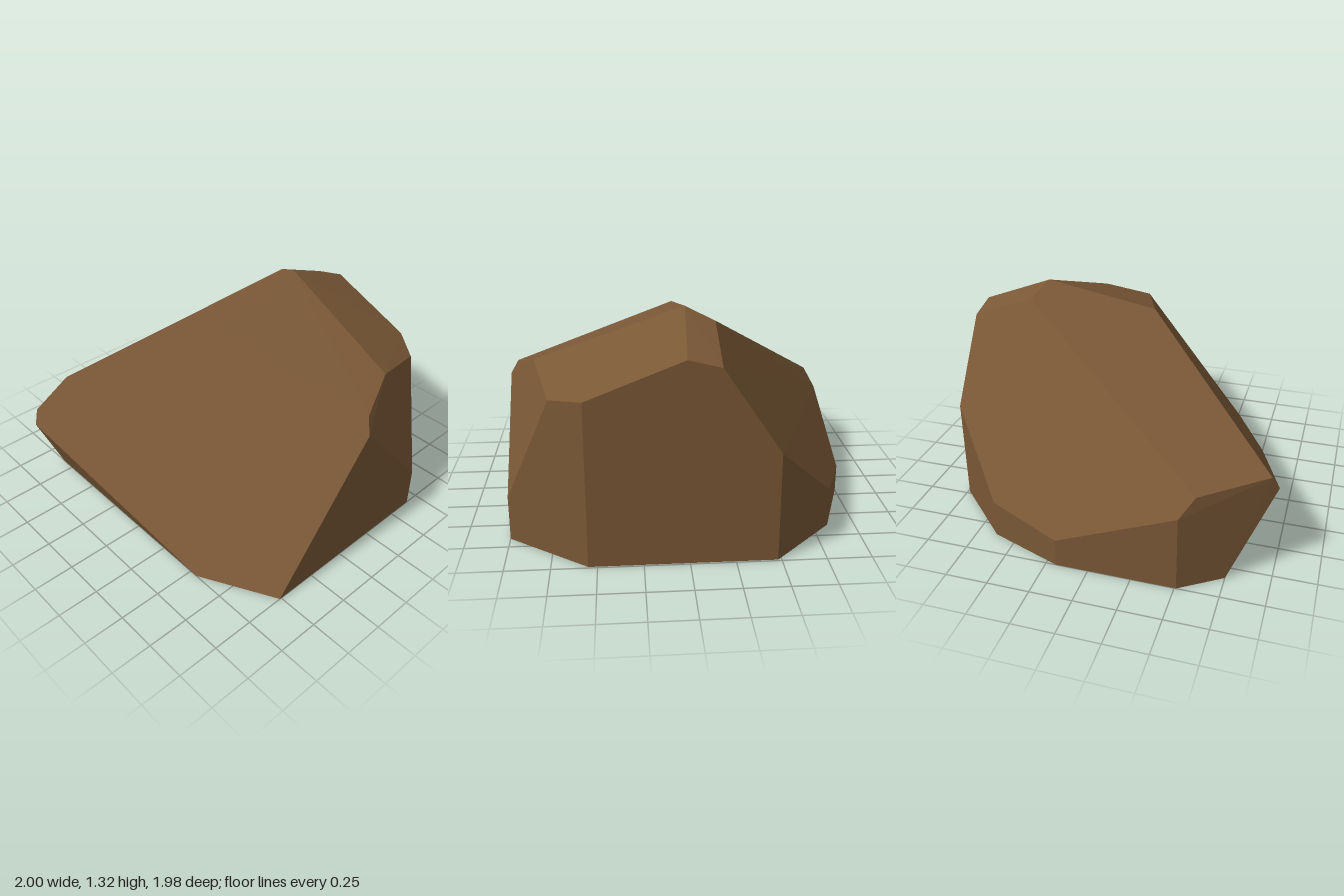
import * as THREE from 'three';
import { ConvexGeometry } from 'three/addons/geometries/ConvexGeometry.js';

// Corner points of the faceted boulder, ring by ring
const base = [
  [1, 0, 0.51], [1, 0, -0.66], [0.55, 0, -0.99], [-0.48, 0, -0.99],
  [-0.84, 0, -0.63], [-1, 0, -0.19], [-1, 0, 0.51], [-0.84, 0, 0.75], [0.55, 0, 0.75],
];
const shoulder = [
  [1, 0.83, -0.15], [1, 0.26, -0.66], [0.73, 0.91, -0.86], [0.55, 0.94, -0.99],
  [-0.48, 0.63, -0.99], [-0.84, 0.23, -0.63], [-1, 0.17, -0.19], [-1, 0.46, 0.51],
  [-0.94, 0.575, 0.59], [-0.71, 0.62, 0.95], [-0.68, 0.54, 0.99],
];
const crown = [
  [0.95, 0.92, -0.19], [0.83, 1.01, -0.47], [0.03, 1.19, 0.1],
  [0, 1.32, -0.56], [-0.16, 1.25, -0.62], [-0.16, 1.105, -0.99], [0.02, 1.15, -0.99],
];

export function createModel() {
  const group = new THREE.Group();
  group.name = 'rock';

  const brownStone = new THREE.MeshStandardMaterial({ color: 0x7a5836 });
  brownStone.name = 'brown stone';
  brownStone.flatShading = true;

  // The boulder is the convex hull of its corners
  const points = [...base, ...shoulder, ...crown].map((p) => new THREE.Vector3(...p));
  const boulder = new THREE.Mesh(new ConvexGeometry(points), brownStone);
  boulder.name = 'boulder';
  group.add(boulder);
  return group;
}
